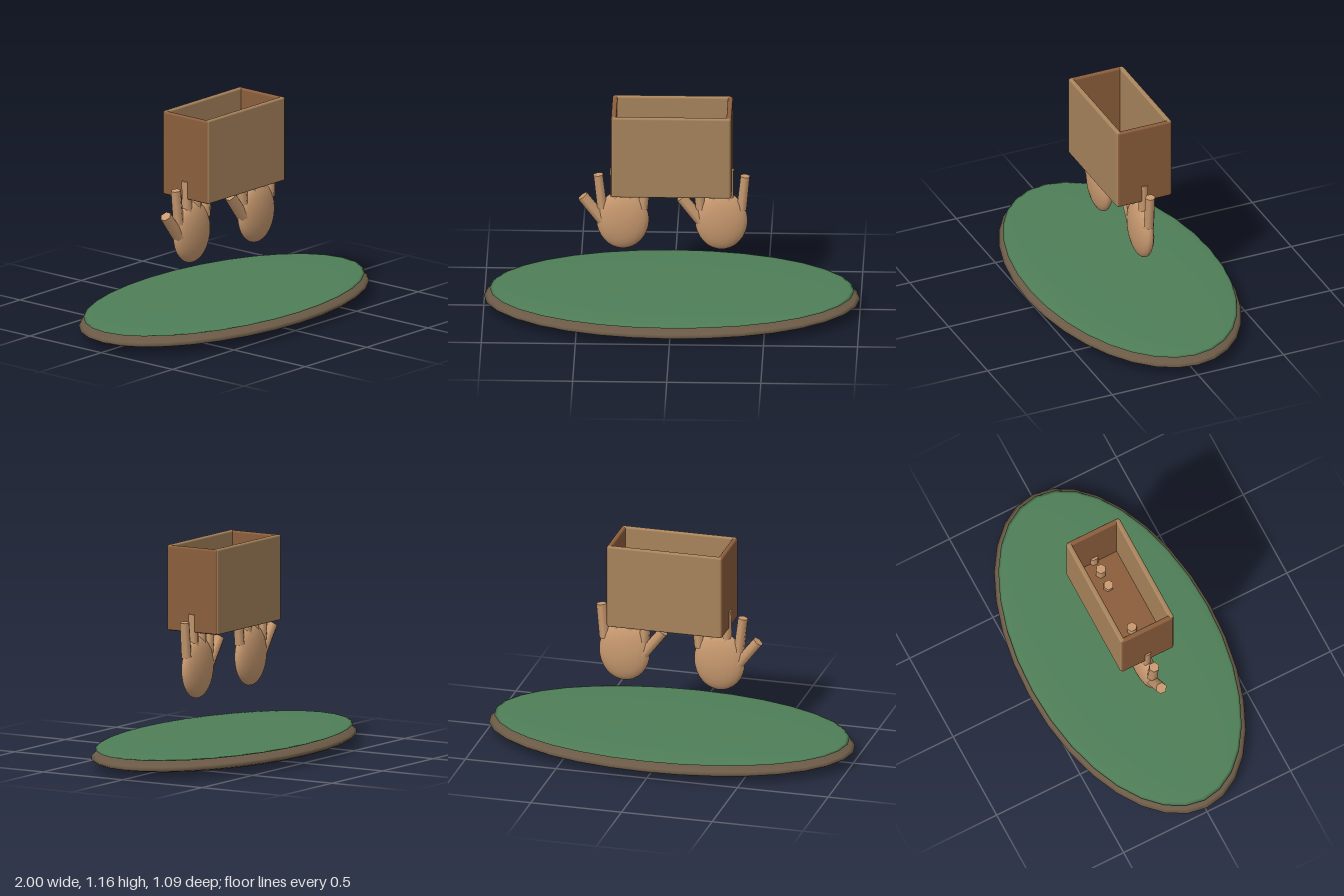
import * as THREE from 'three';
import { RoundedBoxGeometry } from 'three/addons/geometries/RoundedBoxGeometry.js';

const paint = (color) => new THREE.MeshStandardMaterial({ color });
const skin = paint(0xc99a70);
const lightWood = paint(0xa8845c);
const darkWood = paint(0x8b5e3c);
const earth = paint(0x6b5a46);
const grass = paint(0x4f7f58);

function part(name, geometry, material, x, y, z) {
  const mesh = new THREE.Mesh(geometry, material);
  mesh.name = name;
  mesh.position.set(x, y, z);
  return mesh;
}

// Flattened sphere with separate radii
function ellipsoid(rx, ry, rz, w, h) {
  return new THREE.SphereGeometry(1, w, h).scale(rx, ry, rz);
}

// Six-sided finger running from its base to its tip in the hand's plane
function finger(name, bx, by, tx, ty, rTip, rBase) {
  const length = Math.hypot(tx - bx, ty - by);
  const mesh = part(name, new THREE.CylinderGeometry(rTip, rBase, length, 6), skin,
    (bx + tx) / 2, (by + ty) / 2, 0);
  mesh.rotation.z = -Math.atan2(tx - bx, ty - by);
  return mesh;
}

function createHand(name, x) {
  const hand = new THREE.Group();
  hand.name = name;
  hand.position.x = x;
  hand.add(part('palm', ellipsoid(0.14, 0.165, 0.05, 20, 16), skin, 0, 0.507, 0));
  // Four fingers fanning slightly outwards: base x, tip x, tip y
  const fingers = [
    ['indexFinger', -0.108, -0.13, 0.765],
    ['middleFinger', -0.037, -0.042, 0.8],
    ['ringFinger', 0.037, 0.042, 0.8],
    ['littleFinger', 0.108, 0.127, 0.765],
  ];
  for (const [label, bx, tx, ty] of fingers) {
    hand.add(finger(label, bx, 0.575, tx, ty, 0.028, 0.03));
  }
  hand.add(finger('thumb', -0.1, 0.495, -0.213, 0.64, 0.031, 0.033));
  return hand;
}

function createBox() {
  const box = new THREE.Group();
  box.name = 'openBox';
  const panel = (w, h, d) => new RoundedBoxGeometry(w, h, d, 3, 0.01);
  for (const s of [1, -1]) {
    box.add(part(s > 0 ? 'frontPanel' : 'backPanel', panel(0.63, 0.46, 0.027), lightWood, 0, 0.93, s * 0.1465));
    box.add(part(s > 0 ? 'leftPanel' : 'rightPanel', panel(0.027, 0.456, 0.312), darkWood, s * 0.3065, 0.93, 0));
  }
  box.add(part('floorPanel', panel(0.62, 0.027, 0.306), darkWood, 0, 0.7125, 0));
  return box;
}

export function createModel() {
  const model = new THREE.Group();
  model.name = 'handsHoldingBox';
  // Oval ground: an earth lens with a thinner grass lens on top
  model.add(part('earthBase', ellipsoid(1, 0.06, 0.545, 32, 16), earth, 0, 0.06, 0));
  model.add(part('grassTop', ellipsoid(0.97, 0.018, 0.525, 32, 16), grass, 0, 0.105, 0));
  model.add(createHand('rightHand', -0.262), createHand('leftHand', 0.262));
  model.add(createBox());
  return model;
}
